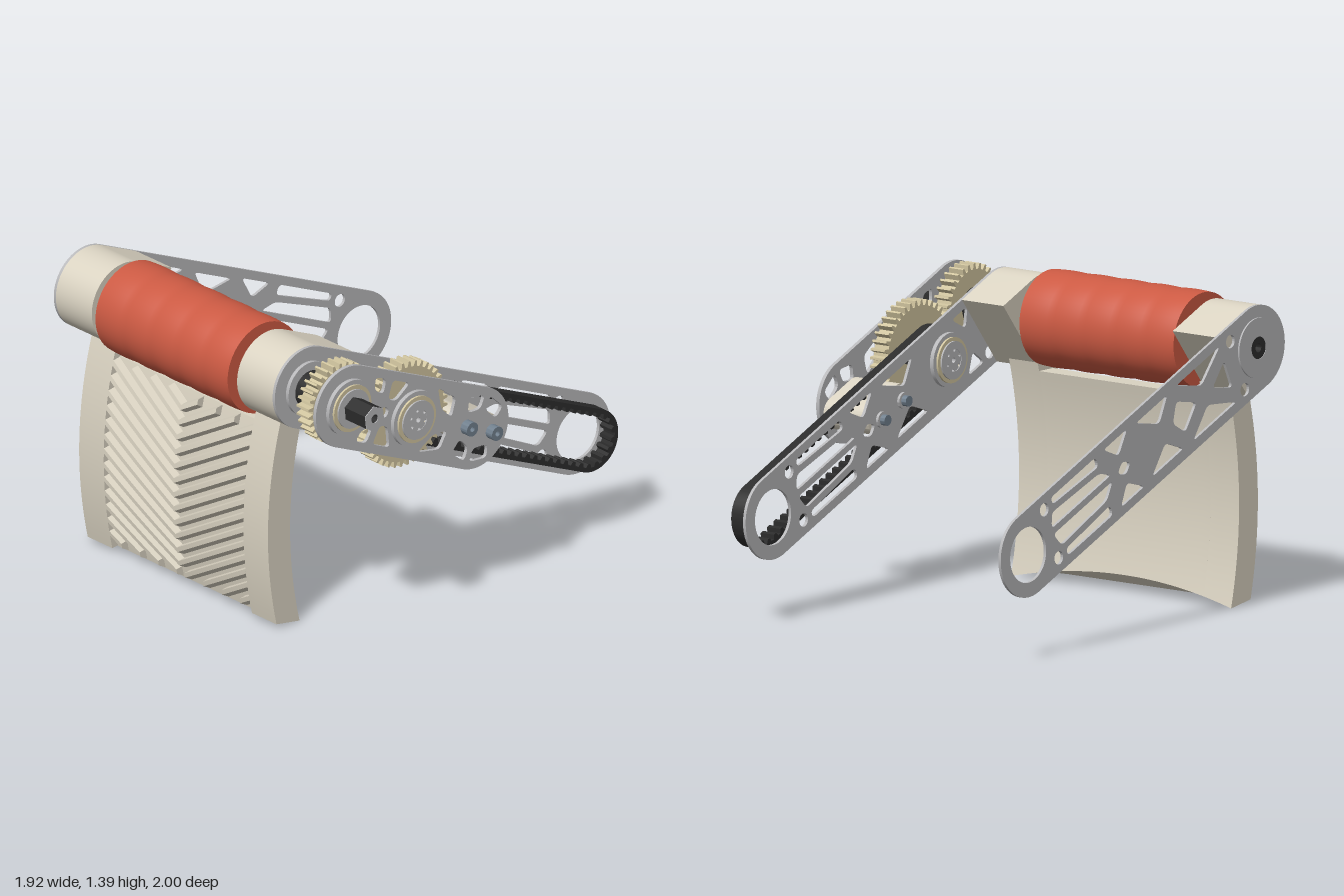
import * as THREE from 'three';
import { toCreasedNormals } from 'three/addons/utils/BufferGeometryUtils.js';

const mat = (color) => new THREE.MeshStandardMaterial({ color });
const metal = mat(0xb8b8ba), cream = mat(0xdad3c2), tan = mat(0xd2c6a0);
const black = mat(0x2c2c2c), red = mat(0xcc5a43), steel = mat(0x71808e);

const ARM = 1.737, GEAR = 0.415; // distances along the arm from the roller axis
const PI = Math.PI;

function add(parent, name, geometry, material) {
  const mesh = new THREE.Mesh(geometry, material);
  mesh.name = name;
  parent.add(mesh);
  return mesh;
}

// Extrude an outline drawn in the arm plane between two sideways positions
function slab(shape, x0, x1) {
  const g = new THREE.ExtrudeGeometry(shape, { depth: x1 - x0, bevelEnabled: false, curveSegments: 28 });
  return toCreasedNormals(g.translate(0, 0, x0), 0.5);
}

const circle = (a, b, r) => new THREE.Path().absarc(a, b, r, 0, PI * 2);

function disc(a, b, r, hole = 0) {
  const s = new THREE.Shape().absarc(a, b, r, 0, PI * 2);
  if (hole) s.holes.push(circle(a, b, hole));
  return s;
}

function stadium(a0, a1, r) {
  return new THREE.Shape().absarc(a0, 0, r, PI / 2, PI * 1.5).absarc(a1, 0, r, -PI / 2, PI / 2).closePath();
}

// Polygon cutout with rounded corners
function cutout(points, r = 0.025) {
  const path = new THREE.Path();
  const p = points.map(([a, b]) => new THREE.Vector2(a, b));
  p.forEach((c, i) => {
    const toward = (q) => q.clone().sub(c).setLength(Math.min(r, q.distanceTo(c) * 0.45)).add(c);
    const start = toward(p[(i + p.length - 1) % p.length]), end = toward(p[(i + 1) % p.length]);
    if (i) path.lineTo(start.x, start.y); else path.moveTo(start.x, start.y);
    path.quadraticCurveTo(c.x, c.y, end.x, end.y);
  });
  path.closePath();
  return path;
}
const bothSides = (points) => [cutout(points), cutout(points.map(([a, b]) => [a, -b]))];

function gearShape(a, r, teeth, phase, hole) {
  const s = new THREE.Shape(), step = PI * 2 / teeth;
  for (let i = 0; i < teeth; i++) {
    [[-0.3, -0.026], [-0.13, 0], [0.13, 0], [0.3, -0.026]].forEach(([t, d], j) => {
      const ang = (i + t + phase) * step, x = a + Math.cos(ang) * (r + d), y = Math.sin(ang) * (r + d);
      if (i || j) s.lineTo(x, y); else s.moveTo(x, y);
    });
  }
  s.closePath();
  s.holes.push(circle(a, 0, hole));
  return s;
}

// Skin matching rings of points, ordered along +x, and cap both ends
function loft(rings) {
  const pos = [], n = rings[0].length, put = (...v) => v.forEach((p) => pos.push(p.x, p.y, p.z));
  for (let s = 0; s + 1 < rings.length; s++) {
    for (let i = 0; i < n; i++) {
      const j = (i + 1) % n, A = rings[s][i], B = rings[s][j], C = rings[s + 1][j], D = rings[s + 1][i];
      put(A, B, C, A, C, D);
    }
  }
  for (const [ring, flip] of [[rings[0], true], [rings[rings.length - 1], false]]) {
    const faces = THREE.ShapeUtils.triangulateShape(ring.map((p) => new THREE.Vector2(-p.z, p.y)), []);
    for (const [i, j, k] of faces) flip ? put(ring[i], ring[k], ring[j]) : put(ring[i], ring[j], ring[k]);
  }
  const g = new THREE.BufferGeometry();
  g.setAttribute('position', new THREE.Float32BufferAttribute(pos, 3));
  return toCreasedNormals(g, 0.5);
}

// Curved guide panel with V-shaped ribs
function buildGuide() {
  const guide = new THREE.Group();
  guide.name = 'curvedGuide';
  const MID = -0.215, HALF = 0.625, RIB = 0.4625, DEPTH = 0.035;
  const bow = (y) => -0.263 * (y - 0.46) ** 2;
  const strip = (name, x0, x1, top, recess, cols) => {
    const rings = [];
    for (let c = 0; c <= cols; c++) {
      const x = x0 + (x1 - x0) * c / cols, u = (x - MID) / HALF;
      const low = 0.075 * Math.max(0, 1 - u * u), ring = [], rows = 20;
      for (let i = 0; i <= rows; i++) {
        const y = low + (top - low) * i / rows;
        ring.push(new THREE.Vector3(x, y, 0.79 + bow(y)));
      }
      for (let i = rows; i >= 0; i--) {
        const y = 0.022 + (top - 0.022) * i / rows;
        ring.push(new THREE.Vector3(x, y, 0.92 - recess + bow(y)));
      }
      rings.push(ring);
    }
    add(guide, name, loft(rings), cream);
  };
  strip('guideRailRight', MID - HALF, MID - RIB, 1.0, 0, 4);
  strip('guidePanel', MID - RIB, MID + RIB, 0.935, DEPTH, 24);
  strip('guideRailLeft', MID + RIB, MID + HALF, 1.0, 0, 4);

  // Ribs rise outward from the middle line and follow the bowed face
  const slope = 0.56, h = 0.026, lo = 0.024 + h, hi = 0.932 - h;
  for (let y0 = lo - slope * RIB + 0.04; y0 < hi; y0 += 0.068) {
    const u0 = Math.max(0, (lo - y0) / slope), u1 = Math.min(RIB, (hi - y0) / slope);
    if (u1 - u0 < 0.02) continue;
    for (const side of [-1, 1]) {
      const rings = [];
      for (let i = 0; i <= 8; i++) {
        const u = u0 + (u1 - u0) * i / 8, yc = y0 + slope * u;
        rings.push([[-h, -0.004], [h, -0.004], [h * 0.75, DEPTH], [-h * 0.15, DEPTH]].map(([dy, dz]) =>
          new THREE.Vector3(MID + side * u, yc + dy, 0.92 - DEPTH + bow(yc + dy) + dz)));
      }
      if (side < 0) rings.reverse();
      add(guide, 'guideRib', loft(rings), cream);
    }
  }
  return guide;
}

// Long side plate with truss cutouts
function sidePlate(withBearing) {
  const s = stadium(0, ARM, 0.19);
  s.holes.push(circle(0, 0, 0.055), circle(ARM, 0, 0.125));
  for (const b of [-0.125, 0.125]) s.holes.push(circle(0.15, b, 0.03), circle(1.56, b, 0.03));
  s.holes.push(...bothSides([[0.62, 0.14], [0.86, 0.14], [0.72, 0.05]]),
    ...bothSides([[0.92, 0.15], [1.1, 0.15], [1.02, 0.07]]),
    ...bothSides([[1.16, 0.15], [1.5, 0.15], [1.5, 0.115], [1.16, 0.1]]),
    cutout([[1.1, -0.01], [1.17, -0.07], [1.52, -0.085], [1.55, -0.01]]),
    cutout([[1.1, 0.02], [1.17, 0.07], [1.52, 0.085], [1.55, 0.02]]),
    cutout([[0.96, 0], [1.01, 0.035], [1.06, 0], [1.01, -0.035]]));
  if (withBearing) {
    s.holes.push(circle(GEAR, 0, 0.055), ...bothSides([[0.2, 0.145], [0.32, 0.145], [0.25, 0.06]]));
  } else {
    s.holes.push(...bothSides([[0.22, 0.145], [0.55, 0.145], [0.4, 0.05]]),
      cutout([[0.22, 0.07], [0.34, 0], [0.22, -0.07]]), cutout([[0.46, 0], [0.58, 0.08], [0.64, 0], [0.58, -0.08]]));
  }
  return s;
}

// Short outer plate over the gears
function gearPlate() {
  const s = stadium(0, 0.82, 0.19);
  s.holes.push(circle(0, 0, 0.055), circle(GEAR, 0, 0.055), circle(0.16, 0, 0.025), circle(0.23, 0, 0.025),
    ...bothSides([[0.11, 0.15], [0.18, 0.15], [0.19, 0.08], [0.13, 0.09]]),
    ...bothSides([[0.22, 0.15], [0.33, 0.15], [0.28, 0.06], [0.23, 0.06]]),
    ...bothSides([[0.51, 0.15], [0.64, 0.12], [0.65, 0.03], [0.57, 0.06]]),
    ...bothSides([[0.72, 0.13], [0.81, 0.155], [0.81, 0.09], [0.74, 0.06]]),
    ...bothSides([[0.84, 0.155], [0.94, 0.12], [0.92, 0.06], [0.84, 0.09]]));
  return s;
}

// Toothed belt around the gear axis and the far end
function beltShape() {
  const s = stadium(GEAR, ARM, 0.146), L = ARM - GEAR, R = 0.126, arc = PI * R, total = 2 * L + 2 * arc;
  const at = (d, r) => {
    d = (d + total) % total;
    if (d < L) return new THREE.Vector2(GEAR + d, -r);
    if ((d -= L) < arc) return new THREE.Vector2(ARM + Math.sin(d / R) * r, -Math.cos(d / R) * r);
    if ((d -= arc) < L) return new THREE.Vector2(ARM - d, r);
    d -= L;
    return new THREE.Vector2(GEAR - Math.sin(d / R) * r, Math.cos(d / R) * r);
  };
  const pts = [], teeth = 70;
  for (let i = 0; i < teeth; i++)
    for (const [t, r] of [[0.1, R], [0.25, 0.108], [0.6, 0.108], [0.75, R]]) pts.push(at((i + t) * total / teeth, r));
  s.holes.push(new THREE.Path(pts));
  return s;
}

export function createModel() {
  const model = new THREE.Group();
  model.name = 'beltDrivenRoller';
  model.add(buildGuide());

  // Arm frame: local x along the arm, local z sideways
  const arm = new THREE.Group();
  arm.name = 'armAssembly';
  arm.position.set(0, 1.172, 0.78);
  arm.rotation.set(0, PI / 2, -0.4147);
  model.add(arm);
  const part = (name, shape, x0, x1, material) => add(arm, name, slab(shape, x0, x1), material);

  // Plates
  part('rightSidePlate', sidePlate(false), -0.952, -0.938, metal);
  part('leftSidePlate', sidePlate(true), 0.497, 0.512, metal);
  part('gearCoverPlate', gearPlate(), 0.766, 0.784, metal);

  // Roller with shallow bands
  const profile = [new THREE.Vector2(0.055, -0.65)];
  for (let i = 0; i <= 40; i++)
    profile.push(new THREE.Vector2(0.213 + 0.004 * Math.abs(Math.sin(i / 40 * PI * 5)), -0.65 + 0.875 * i / 40));
  profile.push(new THREE.Vector2(0.055, 0.225));
  add(arm, 'roller', toCreasedNormals(new THREE.LatheGeometry(profile, 56).rotateX(PI / 2), 0.5), red);

  // Housings at the ends of the roller
  for (const [x0, x1] of [[-0.938, -0.7], [0.262, 0.497]]) {
    const s = new THREE.Shape().absarc(0, 0, 0.19, PI / 2, PI * 1.5).lineTo(0.126, -0.19).lineTo(0.222, 0.19).closePath();
    s.holes.push(circle(0, 0, 0.055));
    part('rollerHousing', s, x0, x1, cream);
  }

  // Hollow hex shaft, collars and bearing flanges
  const hex = new THREE.Shape(Array.from({ length: 6 }, (_, i) =>
    new THREE.Vector2(Math.cos(i * PI / 3) * 0.06, Math.sin(i * PI / 3) * 0.06)));
  hex.holes.push(circle(0, 0, 0.02));
  part('hexShaft', hex, -0.958, 0.956, black);
  part('shaftEnd', hex, 0.956, 0.96, metal);
  for (const [x0, x1] of [[-0.7, -0.65], [0.225, 0.262], [0.512, 0.655]])
    part('shaftCollar', disc(0, 0, 0.086, 0.05), x0, x1, black);
  const flange = (a, r, x0, dir) => {
    [[r, 0.02, metal], [r * 0.84, 0.03, tan], [r * 0.7, 0.038, metal]].forEach(([rad, t, m]) =>
      part('bearingFlange', disc(a, 0, rad, 0.05), Math.min(x0, x0 + dir * t), Math.max(x0, x0 + dir * t), m));
  };
  flange(0, 0.13, 0.784, 1);
  flange(GEAR, 0.13, 0.784, 1);
  flange(GEAR, 0.122, 0.497, -1);
  part('bearingFlange', disc(0, 0, 0.135, 0.05), -0.96, -0.952, metal);
  part('bearingFlange', disc(0, 0, 0.125, 0.05), 0.512, 0.53, metal);

  // Gears, pulley and belt
  part('rollerGear', gearShape(0, 0.19, 30, 0.5, 0.05), 0.655, 0.735, tan);
  part('driveGear', gearShape(GEAR, 0.248, 40, 0, 0.03), 0.655, 0.735, tan);
  part('pulley', gearShape(GEAR, 0.122, 22, 0, 0.03), 0.53, 0.64, black);
  const hub = disc(GEAR, 0, 0.07, 0.012);
  for (let i = 0; i < 6; i++) hub.holes.push(circle(GEAR + 0.045 * Math.cos(i * PI / 3), 0.045 * Math.sin(i * PI / 3), 0.007));
  part('driveHub', hub, 0.462, 0.82, metal);
  part('belt', beltShape(), 0.54, 0.615, black);

  // Spacer block between the plates, and its screws
  part('spacerBlock', stadium(0.757, 0.918, 0.072), 0.512, 0.766, cream);
  for (const a of [0.757, 0.918]) {
    part('screwHead', disc(a, 0, 0.033, 0.012), 0.784, 0.826, steel);
    part('screwNut', disc(a, 0, 0.024), 0.458, 0.497, steel);
    part('screwWasher', disc(a, 0, 0.036), 0.484, 0.497, metal);
  }
  for (const a of [0.16, 0.24]) part('housingScrew', disc(a, 0, 0.03), 0.512, 0.555, steel);
  return model;
}
